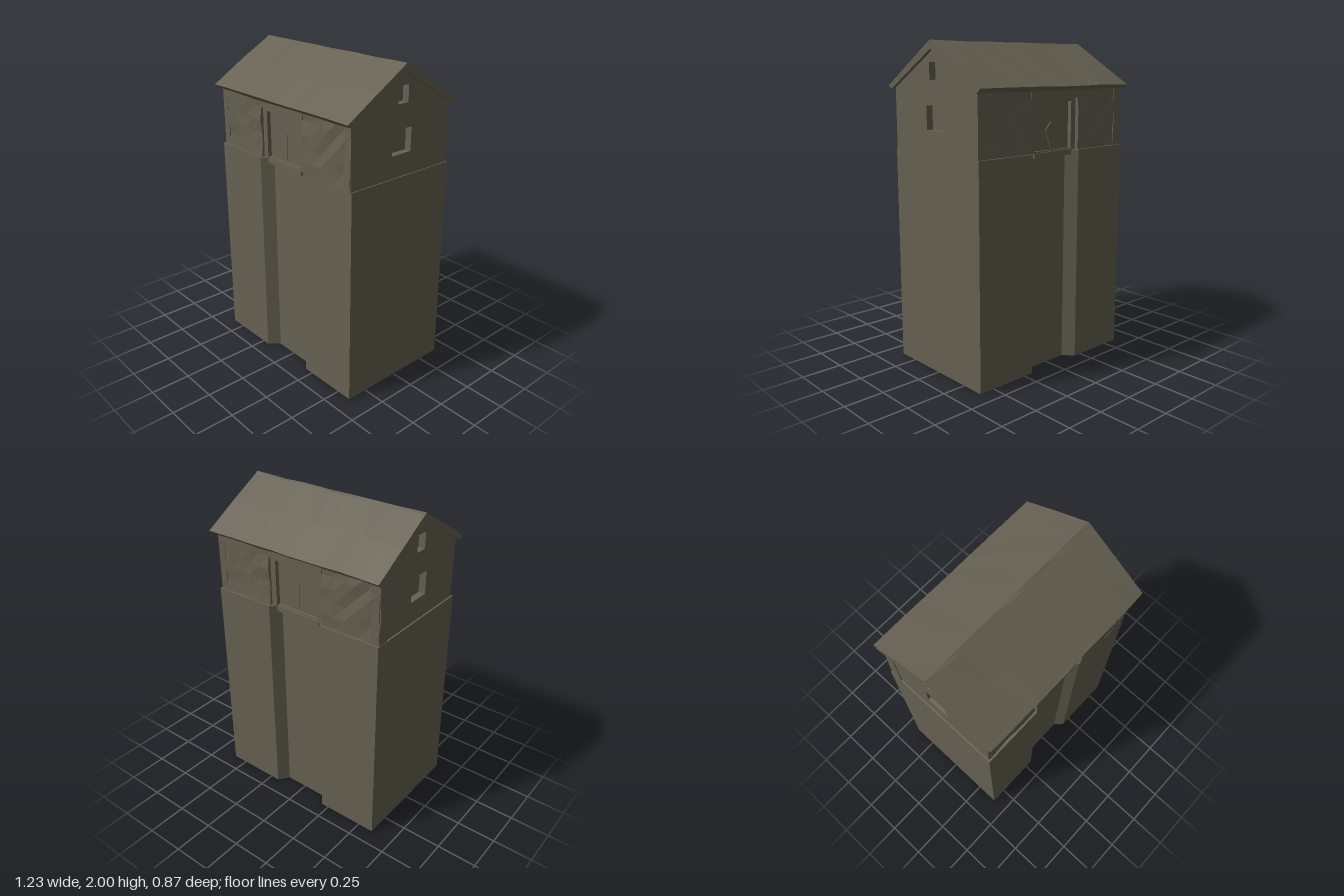
import * as THREE from 'three';

export function createModel() {
  const model = new THREE.Group();
  const stone = new THREE.MeshStandardMaterial({ color: 0x666152, flatShading: true });
  stone.name = 'weatheredStone';

  const add = (name, geometry, parent = model) => {
    const mesh = new THREE.Mesh(geometry, stone);
    mesh.name = name;
    parent.add(mesh);
    return mesh;
  };
  const shapeOf = (pts) => new THREE.Shape(pts.map(([x, y]) => new THREE.Vector2(x, y)));
  const extrude = (shape, depth) => new THREE.ExtrudeGeometry(shape, { depth, bevelEnabled: false });

  // Repeatable jitter by position, so shared corners stay together
  const hash = (x, y, z, s) => {
    const n = Math.sin(Math.round(x * 500) * 12.99 + Math.round(y * 500) * 78.23 + Math.round(z * 500) * 37.72 + s * 4.1) * 43758.5;
    return (n - Math.floor(n)) * 2 - 1;
  };
  const roughen = (geometry, ax, ay, az) => {
    const p = geometry.attributes.position;
    for (let i = 0; i < p.count; i++) {
      const x = p.getX(i), y = p.getY(i), z = p.getZ(i);
      p.setXYZ(i, x + ax * hash(x, y, z, 1), y + ay * hash(x, y, z, 2), z + az * hash(x, y, z, 3));
    }
    geometry.computeVertexNormals();
    return geometry;
  };
  // Box given by its limits
  const block = (x0, x1, y0, y1, z0, z1, sx = 1, sy = 1) =>
    new THREE.BoxGeometry(x1 - x0, y1 - y0, z1 - z0, sx, sy, 1)
      .translate((x0 + x1) / 2, (y0 + y1) / 2, (z0 + z1) / 2);

  // Tall base with a splayed recess in the front and back
  const plan = shapeOf([
    [-0.603, -0.4], [-0.2, -0.4], [-0.145, -0.335], [0.14, -0.335], [0.19, -0.385], [0.6, -0.385],
    [0.6, 0.4], [0.19, 0.4], [0.14, 0.335], [-0.145, 0.335], [-0.2, 0.4], [-0.603, 0.4],
  ]);
  add('base', extrude(plan, 1.35).rotateX(-Math.PI / 2));

  // Upper storey core
  const gable = (w, eave, top) => shapeOf([[-w, 1.345], [w, 1.345], [w, eave], [0, top], [-w, eave]]);
  add('upperCore', extrude(gable(0.335, 1.75, 1.955), 1.1).rotateY(Math.PI / 2).translate(-0.55, 0, 0));

  // Gable walls with two window openings
  const hole = (x0, x1, y0, y1) =>
    new THREE.Path([[x0, y0], [x0, y1], [x1, y1], [x1, y0]].map(([x, y]) => new THREE.Vector2(x, y)));
  for (const side of [-1, 1]) {
    const wall = gable(0.388, 1.745, 1.965);
    wall.holes.push(hole(-0.075, 0.075, 1.485, 1.63), hole(-0.04, 0.04, 1.775, 1.875));
    add(side > 0 ? 'leftGableWall' : 'rightGableWall',
      extrude(wall, 0.05).rotateY(Math.PI / 2).translate(side > 0 ? 0.543 : -0.593, 0, 0));
  }

  // Long walls, loading door, frame and sill on the front and back
  for (const side of [1, -1]) {
    const face = new THREE.Group();
    face.name = side > 0 ? 'frontFace' : 'backFace';
    const zIn = 0.32, zOut = 0.385;
    for (const [x0, x1] of [[-0.59, -0.2], [0.19, 0.59]]) {
      add('roughWall', roughen(block(x0, x1, 1.345, 1.745, zIn, zOut, 5, 5), 0.004, 0, 0.007), face);
    }
    add('lintel', block(-0.2, 0.19, 1.665, 1.745, zIn, zOut), face);
    add('door', block(-0.165, 0.165, 1.35, 1.645, zIn, 0.342), face);
    for (const x of [-0.18, 0.172]) add('doorJamb', block(x - 0.02, x + 0.018, 1.345, 1.665, zIn, 0.368), face);
    add('doorHead', block(-0.165, 0.165, 1.645, 1.665, zIn, 0.368), face);
    add('sill', block(-0.16, 0.155, 1.32, 1.35, zIn, 0.37), face);
    add('sillTop', block(-0.165, 0.165, 1.345, 1.358, zIn, 0.36), face);
    // Chipped sliver on the door
    const chip = shapeOf([[-0.045, 1.48], [-0.005, 1.37], [0, 1.53]]);
    add('doorChip', extrude(chip, 0.007).translate(0, 0, 0.341), face);
    // The back is a half turn of the front, with x mirrored to line up with the base recess
    if (side < 0) {
      face.rotation.y = Math.PI;
      face.position.x = -0.01;
    }
    model.add(face);
  }

  // Pitched roof built from cross-sections along x, with a slightly uneven ridge and eaves
  const profile = [[0.435, 1.738], [0.22, 1.866], [0.018, 1.986], [0, 1.996], [-0.018, 1.986], [-0.22, 1.866],
    [-0.435, 1.738], [-0.405, 1.712], [0, 1.945], [0.405, 1.712]];
  const n = profile.length, sections = 10, pos = [], index = [];
  for (let i = 0; i <= sections; i++) {
    const x = -0.614 + 1.228 * i / sections;
    profile.forEach(([z, y], j) => {
      const wobble = 0.003 * hash(x, y, z, 5);
      pos.push(x, y + wobble, z + (j < 4 ? wobble : 0));
    });
  }
  for (let i = 0; i < sections; i++) {
    for (let j = 0; j < n; j++) {
      const a = i * n + j, b = i * n + (j + 1) % n;
      index.push(a, a + n, b, b, a + n, b + n);
    }
  }
  // End caps
  const faces = THREE.ShapeUtils.triangulateShape(profile.map(([z, y]) => new THREE.Vector2(z, y)), []);
  const last = sections * n;
  for (const [a, b, c] of faces) {
    const [p, q, r] = [profile[a], profile[b], profile[c]];
    const ccw = (q[0] - p[0]) * (r[1] - p[1]) - (q[1] - p[1]) * (r[0] - p[0]) > 0;
    const [s, t] = ccw ? [b, c] : [c, b];
    index.push(a, s, t, last + a, last + t, last + s);
  }
  const roof = new THREE.BufferGeometry();
  roof.setAttribute('position', new THREE.Float32BufferAttribute(pos, 3));
  roof.setIndex(index);
  roof.computeVertexNormals();
  add('roof', roof);

  return model;
}
